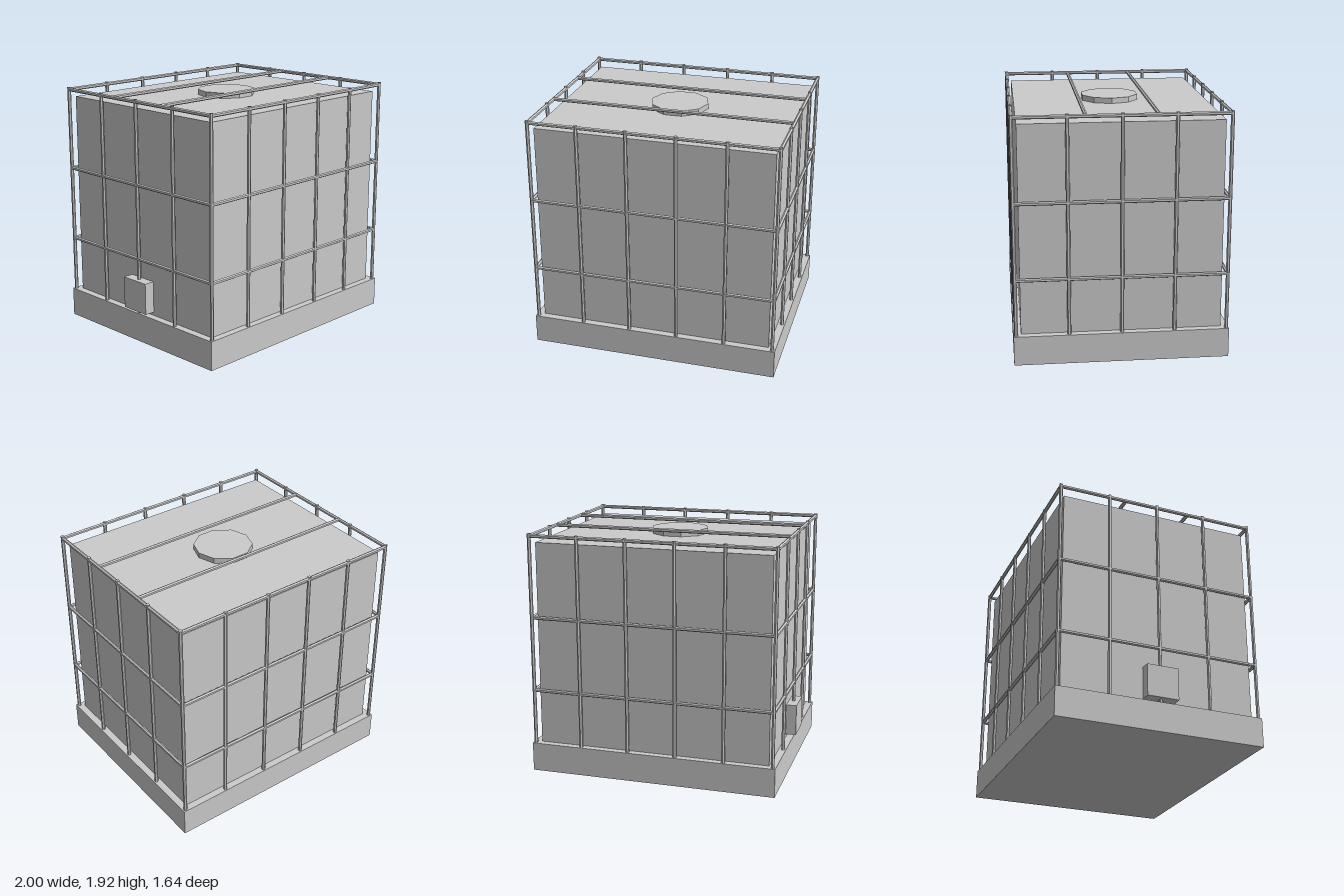
import * as THREE from 'three';

const material = new THREE.MeshStandardMaterial({ color: 0xcccccc, flatShading: true });

const CX = 0.01;          // centre of the tank in x
const HX = 0.962;         // half spans of the cage
const HZ = 0.802;
const BASE_TOP = 0.23;
const CAGE_TOP = 1.9;
const TUBE_R = 0.0148;

function add(parent, name, geometry, x, y, z) {
  const mesh = new THREE.Mesh(geometry, material);
  mesh.name = name;
  mesh.position.set(x, y, z);
  parent.add(mesh);
  return mesh;
}

// Six-sided tube along the given axis
function tube(length, axis) {
  const g = new THREE.CylinderGeometry(TUBE_R, TUBE_R, length, 6);
  if (axis !== 'y') g.rotateX(Math.PI / 2);
  if (axis === 'x') g.rotateY(Math.PI / 2);
  return g;
}

export function createModel() {
  const model = new THREE.Group();
  model.name = 'cagedTank';

  // Pallet, tank body, lid and outlet valve
  add(model, 'pallet', new THREE.BoxGeometry(1.97, BASE_TOP, 1.642), CX, BASE_TOP / 2, 0);
  add(model, 'tank', new THREE.BoxGeometry(1.855, 1.615, 1.53), CX, BASE_TOP + 1.615 / 2, 0);
  const lid = new THREE.CylinderGeometry(0.23, 0.23, 0.045, 10);
  lid.rotateY(Math.PI / 10);
  add(model, 'lid', lid, CX, 1.865, 0);
  add(model, 'outletValve', new THREE.BoxGeometry(0.09, 0.25, 0.25), -0.955, 0.382, 0);

  const cage = new THREE.Group();
  cage.name = 'cage';
  cage.position.x = CX;
  model.add(cage);

  // Upright posts: six along front and back, three more on each side
  const postTop = 1.918;
  const post = tube(postTop - BASE_TOP, 'y');
  const postY = (postTop + BASE_TOP) / 2;
  for (const s of [-1, 1]) {
    for (let i = 0; i < 6; i++) add(cage, 'post', post, -HX + (i * 2 * HX) / 5, postY, s * HZ);
    for (let i = 1; i < 4; i++) add(cage, 'post', post, s * HX, postY, -HZ + (i * HZ) / 2);
  }

  // Horizontal rails around the cage
  const railX = tube(2 * HX, 'x');
  const railZ = tube(2 * HZ, 'z');
  for (const y of [0.67, 1.26, CAGE_TOP]) {
    for (const s of [-1, 1]) {
      add(cage, 'longRail', railX, 0, y, s * HZ);
      add(cage, 'sideRail', railZ, s * HX, y, 0);
    }
  }

  // Bars across the top
  for (const s of [-1, 1]) add(cage, 'topBar', railX, 0, CAGE_TOP, s * 0.266);

  return model;
}
